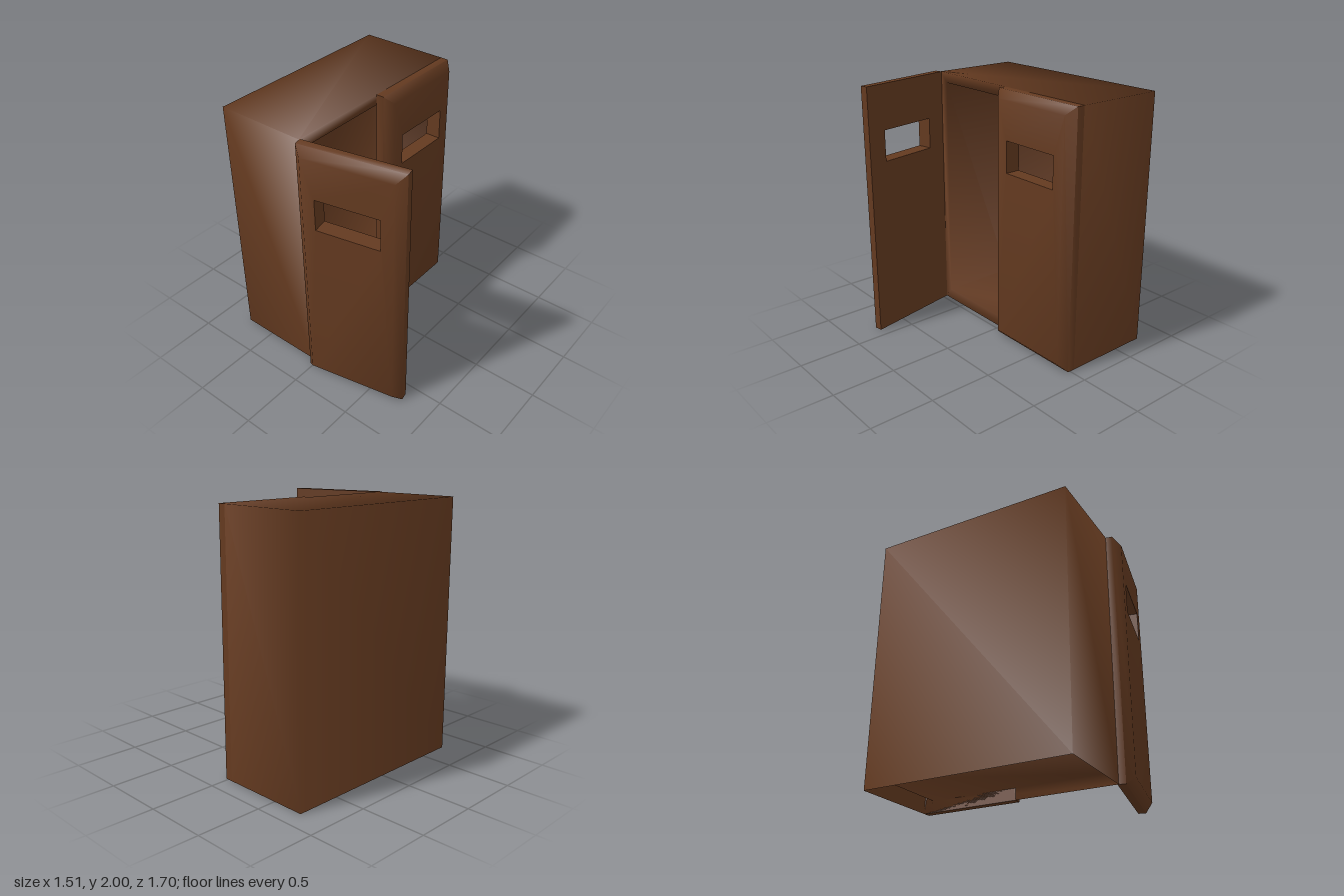
import * as THREE from 'three';
import { toCreasedNormals } from 'three/addons/utils/BufferGeometryUtils.js';

const wood = new THREE.MeshStandardMaterial({ color: 0x643a20, side: THREE.DoubleSide });

// Joins rectangular rings [x0, x1, y0, y1, z] into a skin.
// closed: last ring joins the first; otherwise both ends are capped.
// openBottom: leaves out the bottom side between the first two rings.
function loftRects(rings, { closed = false, openBottom = false } = {}) {
  const positions = [], index = [];
  for (const [x0, x1, y0, y1, z] of rings) {
    positions.push(x0, y0, z, x1, y0, z, x1, y1, z, x0, y1, z);
  }
  const quad = (a, b, c, d) => index.push(a, b, c, a, c, d);
  const n = rings.length;
  for (let r = 0; r < (closed ? n : n - 1); r++) {
    const a = r * 4, b = ((r + 1) % n) * 4;
    for (let i = 0; i < 4; i++) {
      if (openBottom && r === 0 && i === 0) continue;
      const j = (i + 1) % 4;
      quad(a + i, a + j, b + j, b + i);
    }
  }
  if (!closed) {
    const e = (n - 1) * 4;
    quad(0, 3, 2, 1);
    quad(e, e + 1, e + 2, e + 3);
  }
  const geometry = new THREE.BufferGeometry();
  geometry.setAttribute('position', new THREE.Float32BufferAttribute(positions, 3));
  geometry.setIndex(index);
  geometry.computeVertexNormals();
  return geometry;
}

// Door panel: bevelled on its outer face, with a rectangular window cut through
function doorGeometry() {
  const w = 0.8, h = 2, t = 0.12, bevel = 0.06;
  const win = [0.157, 0.643, 1.4, 1.645];
  const skin = loftRects([
    [0, w, 0, h, 0],
    [0, w, 0, h, t - bevel],
    [bevel, w - bevel, bevel, h - bevel, t],
    [...win, t],
    [...win, 0],
  ], { closed: true });
  return toCreasedNormals(skin, 1.1);
}

export function createModel() {
  const group = new THREE.Group();
  const add = (name, geometry, x, z, angle) => {
    const mesh = new THREE.Mesh(geometry, wood);
    mesh.name = name;
    mesh.position.set(x, 0, z);
    mesh.rotation.y = angle;
    group.add(mesh);
  };

  // Cabinet shell with a hollow inside, open underneath; its opening faces +x
  const inner = [-0.67, 0.77, 0.09, 1.92];
  const cabinet = loftRects([
    [-0.75, 0.85, 0, 2, -0.715],
    [-0.75, 0.85, 0, 2, 0],
    [...inner, 0],
    [...inner, -0.635],
  ], { openBottom: true });
  add('cabinet', cabinet, -0.04, 0, Math.PI / 2);

  // One door shut, the other swung wide open
  const door = doorGeometry();
  add('closedDoor', door, -0.04, -0.05, Math.PI / 2);
  add('openDoor', door, -0.04, 0.74, 0.195);

  return group;
}
